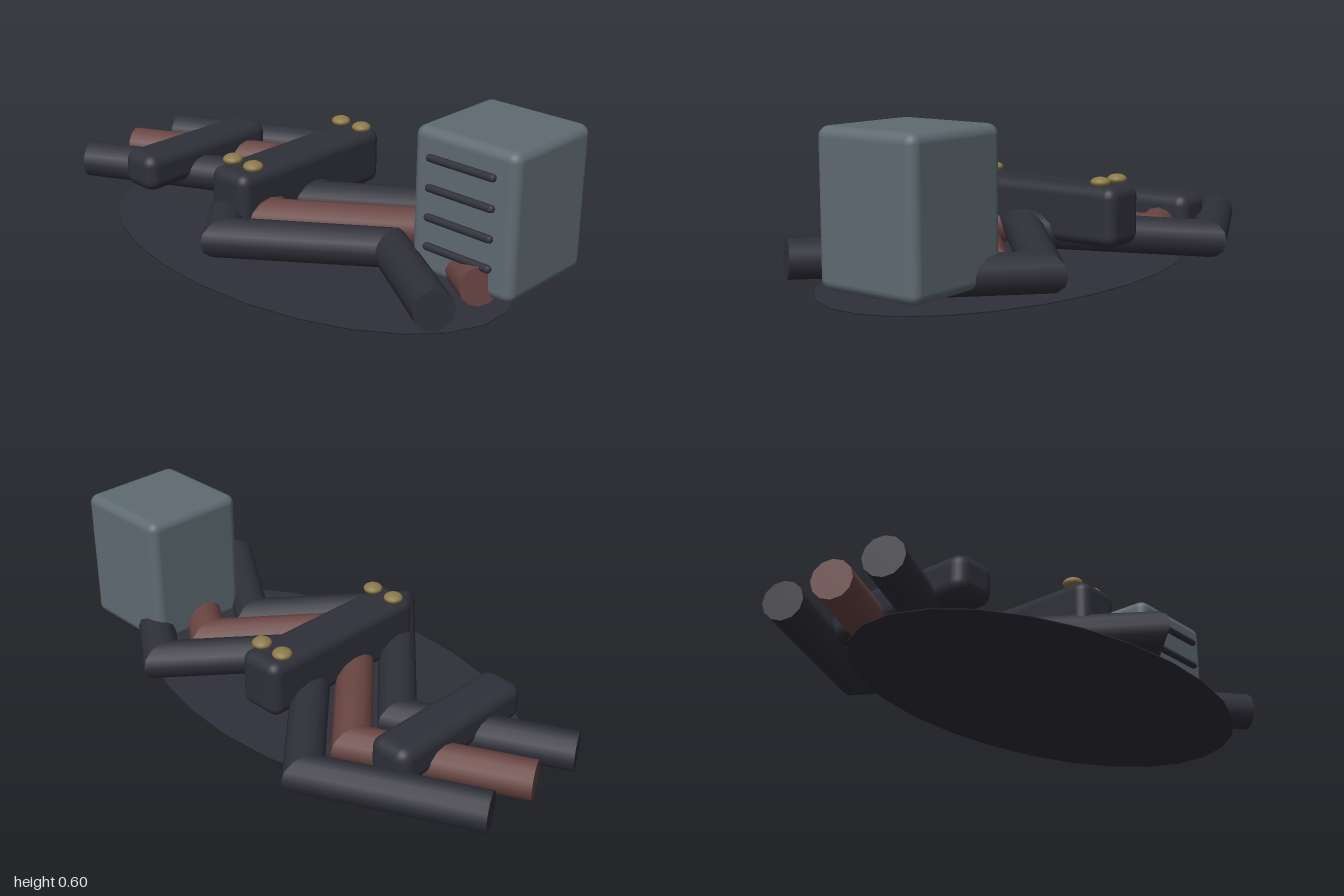
import * as THREE from 'three';
import { RoundedBoxGeometry } from 'three/addons/geometries/RoundedBoxGeometry.js';

const mat = (name, color) => Object.assign(new THREE.MeshStandardMaterial({ color }), { name });

// Straight pipe runs joined by sharp mitres, closed at both ends
function mitredPipe(points, radius, sides) {
  const pos = [], nor = [], idx = [];
  const dirs = points.slice(1).map((p, i) => p.clone().sub(points[i]).normalize());
  const put = (p, n) => { pos.push(p.x, p.y, p.z); nor.push(n.x, n.y, n.z); return pos.length / 3 - 1; };
  dirs.forEach((d, s) => {
    const u = new THREE.Vector3(0, 1, 0).cross(d).normalize();
    const v = d.clone().cross(u);
    const ring = (k) => {
      const plane = new THREE.Vector3().add(dirs[k - 1] ?? d).add(dirs[k] ?? d);
      return Array.from({ length: sides + 1 }, (_, i) => {
        const a = (i / sides) * Math.PI * 2;
        const n = u.clone().multiplyScalar(Math.cos(a)).addScaledVector(v, Math.sin(a));
        const o = n.clone().multiplyScalar(radius);
        o.addScaledVector(d, -o.dot(plane) / d.dot(plane)).add(points[k]);
        return { o, n };
      });
    };
    const r0 = ring(s), r1 = ring(s + 1);
    const a = r0.map(({ o, n }) => put(o, n)), b = r1.map(({ o, n }) => put(o, n));
    for (let i = 0; i < sides; i++) idx.push(a[i], a[i + 1], b[i], a[i + 1], b[i + 1], b[i]);
    const cap = (r, centre, n, flip) => {
      const c = put(centre, n), e = r.map(({ o }) => put(o, n));
      for (let i = 0; i < sides; i++) idx.push(c, e[flip ? i + 1 : i], e[flip ? i : i + 1]);
    };
    if (s === 0) cap(r0, points[0], d.clone().negate(), true);
    if (s === dirs.length - 1) cap(r1, points[s + 1], d, false);
  });
  const g = new THREE.BufferGeometry();
  g.setAttribute('position', new THREE.Float32BufferAttribute(pos, 3));
  g.setAttribute('normal', new THREE.Float32BufferAttribute(nor, 3));
  g.setIndex(idx);
  return g;
}

export function createModel() {
  const model = new THREE.Group();
  model.name = 'pipeAssembly';
  const dark = mat('dark iron', 0x30303a);
  const rust = mat('rust red', 0x694542);
  const steel = mat('grey steel', 0x5f6b72);
  const brass = mat('brass', 0x8c7a4a);

  const add = (name, geometry, material, x = 0, y = 0, z = 0) => {
    const m = new THREE.Mesh(geometry, material);
    m.name = name;
    m.position.set(x, y, z);
    model.add(m);
    return m;
  };

  // Shallow oval base, flat above and slightly domed below
  const profile = [[0, 0], [0.5, 0.004], [1, 0.012], [1, 0.016], [0, 0.017]];
  const base = new THREE.LatheGeometry(profile.map(([x, y]) => new THREE.Vector2(x, y)), 26);
  base.scale(0.875, 1, 0.51);
  add('basePlate', base, dark, 0.055, 0, 0.06);

  // Three parallel zigzag pipes, the middle one rusty
  const path = [[-0.965, 0.11, 0.02], [-0.4, 0.11, -0.265], [0.065, 0.16, 0.237],
    [0.475, 0.12, -0.165], [0.895, 0.14, 0.12]].map((p) => new THREE.Vector3(...p));
  const pipe = mitredPipe(path, 0.07, 12);
  [['backPipe', -0.23, dark], ['middlePipe', 0, rust], ['frontPipe', 0.23, dark]]
    .forEach(([name, z, m]) => add(name, pipe, m, 0, 0, z));

  // Clamp bars across the pipes
  add('centreClamp', new RoundedBoxGeometry(0.18, 0.215, 0.72, 3, 0.04), dark, -0.04, 0.228, -0.01);
  add('endClamp', new RoundedBoxGeometry(0.165, 0.145, 0.62, 3, 0.045), dark, -0.607, 0.163, -0.01);

  // Bolt heads on the centre clamp
  const bolt = new THREE.SphereGeometry(0.036, 14, 10).scale(1, 0.53, 1);
  for (const x of [-0.09, 0.014]) for (const z of [-0.295, 0.27]) add('boltHead', bolt, brass, x, 0.35, z);

  // Control box with a row of vent bars
  add('controlBox', new RoundedBoxGeometry(0.41, 0.515, 0.41, 3, 0.035), steel, 0.79, 0.347, -0.108);
  const vent = new THREE.CapsuleGeometry(0.0135, 0.245, 4, 10).rotateZ(Math.PI / 2);
  for (let i = 0; i < 4; i++) add('ventBar', vent, dark, 0.79, 0.514 - i * 0.1035, 0.11);

  return model;
}
